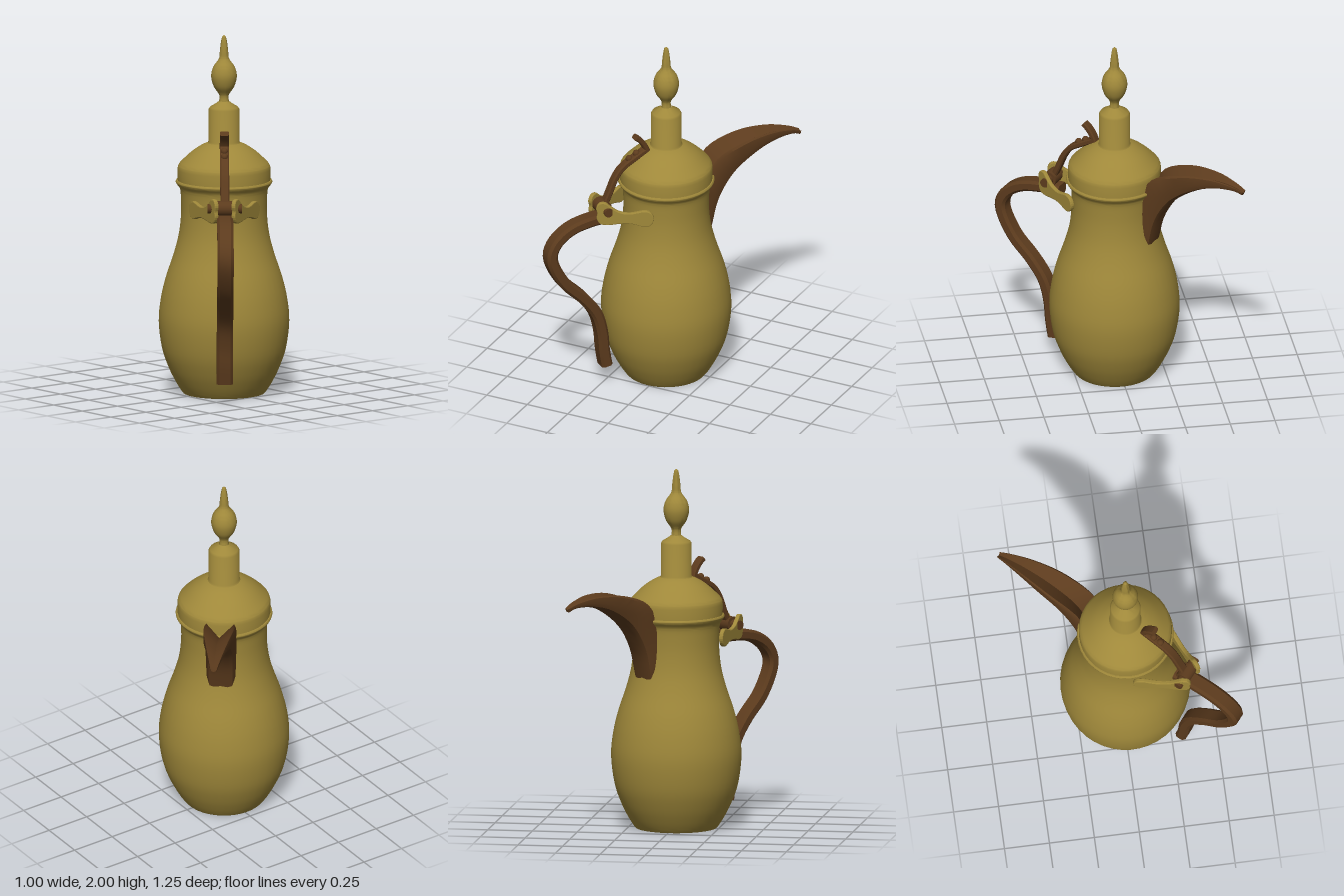
import * as THREE from 'three';
import { toCreasedNormals } from 'three/addons/utils/BufferGeometryUtils.js';

const brass = new THREE.MeshStandardMaterial({ color: 0x9f883a });
const wood = new THREE.MeshStandardMaterial({ color: 0x5c3b1d });
const v2 = ([x, y]) => new THREE.Vector2(x, y);

function add(parent, name, geometry, material) {
  const mesh = new THREE.Mesh(geometry, material);
  mesh.name = name;
  parent.add(mesh);
  return mesh;
}

const smooth = (pts, n) => new THREE.SplineCurve(pts.map(v2)).getPoints(n);
const turned = (pts, crease = 0.6) => toCreasedNormals(new THREE.LatheGeometry(pts, 40), crease);

// Skin a list of equal-length rings, closing both ends
function loft(rings, crease = 0.6) {
  const n = rings[0].length, pos = [], idx = [];
  rings.forEach(r => r.forEach(p => pos.push(p.x, p.y, p.z)));
  for (let i = 0; i < rings.length - 1; i++) {
    for (let j = 0; j < n; j++) {
      const a = i * n + j, b = i * n + (j + 1) % n;
      idx.push(a, b, a + n, b, b + n, a + n);
    }
  }
  [0, rings.length - 1].forEach((ri, end) => {
    const c = new THREE.Vector3();
    rings[ri].forEach(p => c.addScaledVector(p, 1 / n));
    const ci = pos.length / 3;
    pos.push(c.x, c.y, c.z);
    for (let j = 0; j < n; j++) {
      const a = ri * n + j, b = ri * n + (j + 1) % n;
      idx.push(ci, end ? a : b, end ? b : a);
    }
  });
  const g = new THREE.BufferGeometry();
  g.setAttribute('position', new THREE.Float32BufferAttribute(pos, 3));
  g.setIndex(idx);
  return toCreasedNormals(g, crease);
}

// Chamfered bar following a path in the upright plane; path points are [distance behind axis, height]
function bar(pts, thick, width, steps) {
  const curve = new THREE.SplineCurve(pts.map(([r, y]) => new THREE.Vector2(-r, y)));
  const a = thick / 2, b = width / 2, c = Math.min(a, b) * 0.45;
  const section = [[a, -b + c], [a, b - c], [a - c, b], [-a + c, b],
    [-a, b - c], [-a, -b + c], [-a + c, -b], [a - c, -b]];
  const rings = [];
  for (let i = 0; i <= steps; i++) {
    const p = curve.getPoint(i / steps), t = curve.getTangent(i / steps);
    rings.push(section.map(([n, z]) => new THREE.Vector3(p.x - t.y * n, p.y + t.x * n, z)));
  }
  return loft(rings);
}

export function createModel() {
  const group = new THREE.Group();
  // Spout points along local +x, handle along local -x
  const pot = new THREE.Group();
  pot.name = 'coffeePot';
  pot.position.set(-0.01, 0, 0.02);
  pot.rotation.y = 0.902;
  group.add(pot);

  // Pear-shaped body with a flared lip
  add(pot, 'body', turned([
    v2([0, 0]), v2([0.225, 0]),
    ...smooth([[0.235, 0.012], [0.265, 0.06], [0.305, 0.14], [0.342, 0.25], [0.36, 0.4], [0.348, 0.53],
      [0.32, 0.65], [0.277, 0.78], [0.249, 0.89], [0.237, 1.0], [0.238, 1.1], [0.242, 1.14]], 44),
    ...smooth([[0.25, 1.155], [0.264, 1.172], [0.267, 1.182], [0.262, 1.19]], 6),
    v2([0.24, 1.19]),
  ]), brass);

  // Lid: straight rim, dome, column
  add(pot, 'lid', turned([
    v2([0.245, 1.18]), v2([0.256, 1.185]), v2([0.257, 1.25]),
    ...smooth([[0.254, 1.268], [0.24, 1.288], [0.18, 1.345], [0.125, 1.382], [0.09, 1.397]], 16),
    v2([0.085, 1.405]), v2([0.085, 1.585]), v2([0.078, 1.597]), v2([0.045, 1.617]), v2([0.028, 1.63]),
  ]), brass);

  // Finial: neck, bulb and spike
  add(pot, 'finial', turned([
    ...smooth([[0.028, 1.625], [0.025, 1.655], [0.032, 1.675], [0.058, 1.715], [0.071, 1.77],
      [0.06, 1.82], [0.036, 1.855], [0.026, 1.875], [0.023, 1.91], [0.017, 1.96], [0.011, 1.99]], 44),
    v2([0, 2]),
  ], 0.9), brass);

  // Spout: grooved crescent; each station is [keel x, keel y, rim x, rim y, half width]
  const stations = [
    [0.245, 0.79, 0.18, 0.8, 0.06], [0.257, 0.87, 0.19, 0.92, 0.08], [0.3, 1.02, 0.2, 1.12, 0.085],
    [0.395, 1.16, 0.275, 1.275, 0.086], [0.535, 1.26, 0.45, 1.345, 0.08], [0.66, 1.3, 0.62, 1.357, 0.056],
    [0.76, 1.303, 0.745, 1.335, 0.031], [0.808, 1.285, 0.815, 1.308, 0.016]];
  const track = (a, b) => new THREE.SplineCurve(stations.map(s => new THREE.Vector2(s[a], s[b])));
  const keel = track(0, 1), rim = track(2, 3), half = track(0, 4);
  const spoutSection = [[1, 0.9], [0.9, 1], [0.4, 0.97], [0.1, 0.8], [0, 0.5], [0, -0.5],
    [0.1, -0.8], [0.4, -0.97], [0.9, -1], [1, -0.9], [0.5, 0]];
  const spoutRings = [];
  for (let i = 0; i <= 28; i++) {
    const u = i / 28, p = keel.getPoint(u), q = rim.getPoint(u), w = half.getPoint(u).y;
    spoutRings.push(spoutSection.map(([n, z]) =>
      new THREE.Vector3(p.x + (q.x - p.x) * n, p.y + (q.y - p.y) * n, z * w)));
  }
  add(pot, 'spout', loft(spoutRings), wood);

  // Handle
  add(pot, 'handle', bar([[0.33, 1.03], [0.45, 1.028], [0.58, 1.0], [0.675, 0.93], [0.703, 0.83], [0.63, 0.68],
    [0.515, 0.56], [0.435, 0.45], [0.4, 0.33], [0.388, 0.21], [0.372, 0.115]], 0.064, 0.09, 44), wood);

  // Hinge: knuckle, pin and two lobed straps reaching to the neck
  const hinge = new THREE.Group();
  hinge.name = 'hinge';
  pot.add(hinge);
  [['knuckle', 0.042, 0.08], ['pin', 0.026, 0.19]].forEach(([name, r, len]) => {
    const m = add(hinge, name, new THREE.CylinderGeometry(r, r, len, 16), wood);
    m.rotation.x = Math.PI / 2;
    m.position.set(-0.39, 1.095, 0);
  });
  const outline = new THREE.Shape(new THREE.CatmullRomCurve3([
    [-0.045, 0], [-0.03, -0.034], [0, -0.045], [0.04, -0.034], [0.09, -0.024], [0.15, -0.028], [0.2, -0.036],
    [0.245, -0.03], [0.262, 0], [0.258, 0.03], [0.265, 0.06], [0.25, 0.088], [0.22, 0.09],
    [0.195, 0.07], [0.15, 0.04], [0.09, 0.028], [0.04, 0.037], [0, 0.045], [-0.03, 0.034],
  ].map(([x, y]) => new THREE.Vector3(x, y, 0)), true).getPoints(60).slice(0, -1).map(p => new THREE.Vector2(p.x, p.y)));
  const strap = new THREE.ExtrudeGeometry(outline, {
    depth: 0.012, bevelEnabled: true, bevelSize: 0.005, bevelThickness: 0.006, bevelSegments: 2 });
  strap.translate(0, 0, -0.006);
  for (const side of [1, -1]) {
    const m = add(hinge, side > 0 ? 'leftStrap' : 'rightStrap', strap, brass);
    m.position.set(-0.205, 1.055, side * 0.165);
    m.rotation.y = Math.atan2(side * 0.108, -0.215);
  }

  // Lid lever with thumb piece and two studs
  const lever = new THREE.Group();
  lever.name = 'lidLever';
  pot.add(lever);
  add(lever, 'leverArm', bar([[0.385, 1.09], [0.345, 1.18], [0.315, 1.25], [0.27, 1.31],
    [0.2, 1.352], [0.125, 1.392]], 0.032, 0.05, 20), wood);
  add(lever, 'thumbPiece', bar([[0.12, 1.385], [0.138, 1.425], [0.165, 1.46], [0.19, 1.48]], 0.03, 0.05, 8), wood);
  for (const [r, y] of [[0.225, 1.355], [0.182, 1.378]]) {
    const stud = add(lever, 'stud', new THREE.SphereGeometry(0.02, 14, 10), wood);
    stud.position.set(-r, y, 0);
  }
  return group;
}
